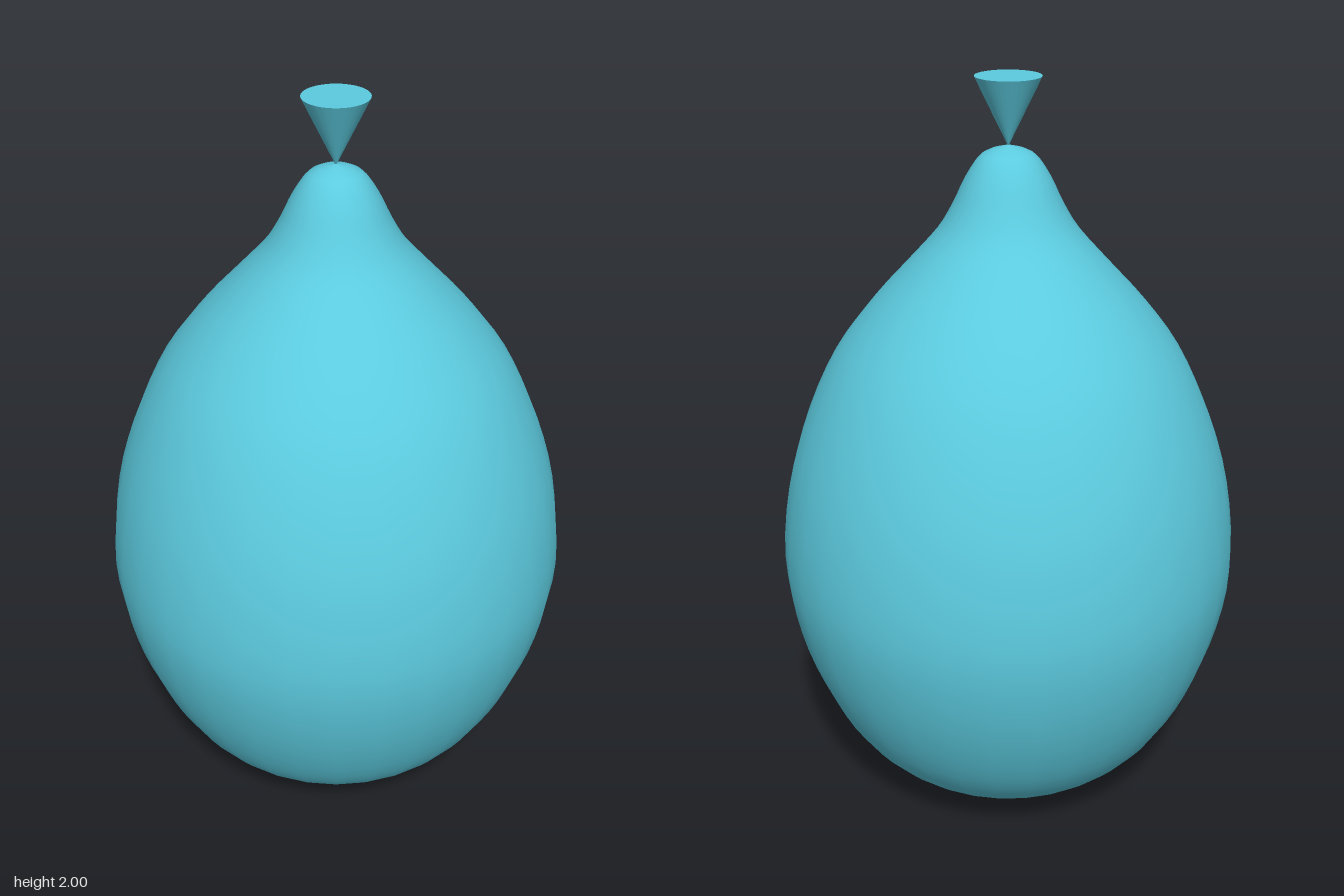
import * as THREE from 'three';

export function createModel() {
  const model = new THREE.Group();
  const rubber = new THREE.MeshStandardMaterial({ color: 0x5ccbdf });
  rubber.name = 'turquoise rubber';

  // Pear-shaped body: smooth profile from the underside up to the pinched tip
  const profile = new THREE.SplineCurve([
    [0, 0], [0.12, 0.013], [0.25, 0.045], [0.36, 0.105], [0.46, 0.21],
    [0.54, 0.36], [0.595, 0.53], [0.619, 0.71], [0.596, 0.92], [0.54, 1.11],
    [0.46, 1.28], [0.365, 1.41], [0.27, 1.515], [0.185, 1.61], [0.142, 1.68],
    [0.108, 1.75], [0.065, 1.808], [0, 1.83],
  ].map(([x, y]) => new THREE.Vector2(x, y)));
  const points = profile.getPoints(51);
  for (const p of points) p.x = Math.max(p.x, 0);
  points[0].set(0, 0);
  points[points.length - 1].set(0, 1.83);
  const body = new THREE.Mesh(new THREE.LatheGeometry(points, 32), rubber);
  body.name = 'balloonBody';

  // Flared, closed neck standing point-down on the tip
  const neck = new THREE.Mesh(new THREE.CylinderGeometry(0.085, 0, 0.175, 32), rubber);
  neck.name = 'tiedNeck';
  neck.position.y = 2 - 0.175 / 2;

  model.add(body, neck);
  return model;
}
